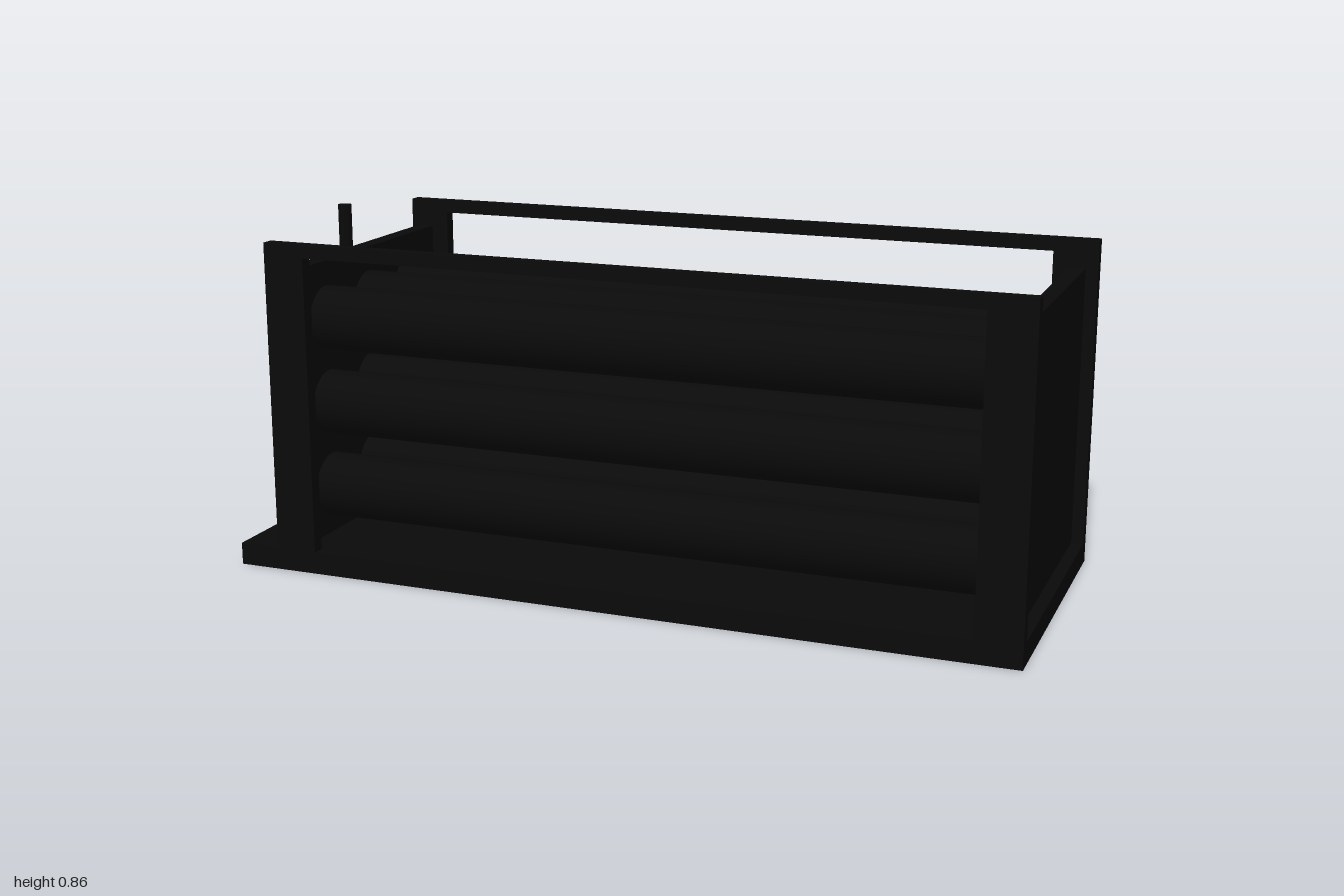
import * as THREE from 'three';

export function createModel() {
  const model = new THREE.Group();
  model.name = 'cylinderRack';
  const black = new THREE.MeshStandardMaterial({ color: 0x0a0a0a });
  black.name = 'black paint';

  const add = (name, geometry, x, y, z) => {
    const mesh = new THREE.Mesh(geometry, black);
    mesh.name = name;
    mesh.position.set(x, y, z);
    model.add(mesh);
    return mesh;
  };
  // Box given by its limits on each axis
  const box = (name, x0, x1, y0, y1, z0, z1) =>
    add(name, new THREE.BoxGeometry(x1 - x0, y1 - y0, z1 - z0),
      (x0 + x1) / 2, (y0 + y1) / 2, (z0 + z1) / 2);
  // Round bar between two limits along one axis
  const rod = (name, axis, a, b, r, p, sides = 20) => {
    const geo = new THREE.CylinderGeometry(r, r, b - a, sides);
    if (axis === 'x') geo.rotateZ(-Math.PI / 2);
    if (axis === 'z') geo.rotateX(Math.PI / 2);
    const mesh = add(name, geo, ...p);
    mesh.position[axis] = (a + b) / 2;
    return mesh;
  };

  // Frame
  box('basePlate', -0.965, 1, 0, 0.055, -0.393, 0.393);
  box('endPlateLeft', 0.93, 0.97, 0.055, 0.752, -0.36, 0.36);
  box('endPlateRight', -0.84, -0.8, 0.055, 0.752, -0.36, 0.36);
  for (const s of [-1, 1]) {
    const z0 = s > 0 ? 0.36 : -0.393, z1 = z0 + 0.033;
    box('cornerPost', 0.89, 1, 0.055, 0.822, z0, z1);
    box('cornerPost', -0.86, -0.755, 0.055, 0.822, z0, z1);
    box('topRail', -0.755, 0.89, 0.79, 0.822, z0, z1);
  }

  // Nine gas cylinders with their outlets and the manifold branches
  const rows = [0.18, 0.395, 0.61];
  for (const y of rows) {
    for (const z of [-0.215, 0, 0.215]) {
      rod('gasCylinder', 'x', -0.8, 0.93, 0.08, [0, y, z], 40);
      rod('outlet', 'x', -0.88, -0.84, 0.018, [0, y, z]);
    }
    rod('branchPipe', 'z', -0.23, 0.23, 0.014, [-0.88, y, 0]);
  }

  // Manifold riser and vent stack
  rod('manifoldPipe', 'y', 0.145, 0.68, 0.017, [-0.878, 0, 0]);
  rod('ventPipe', 'y', 0.67, 0.858, 0.017, [-0.862, 0, 0]);
  box('ventBracket', -0.888, -0.84, 0.68, 0.715, -0.025, 0.025);

  // Main valve with outlet nozzle
  box('valveBody', -0.965, -0.88, 0.36, 0.502, -0.03, 0.03);
  rod('nozzle', 'x', -1, -0.965, 0.016, [0, 0.43, 0]);

  // Hand wheel on its stem
  rod('wheelStem', 'x', -0.96, -0.88, 0.012, [0, 0.537, 0]);
  rod('handWheel', 'x', -0.967, -0.95, 0.038, [0, 0.537, 0], 28);

  return model;
}
